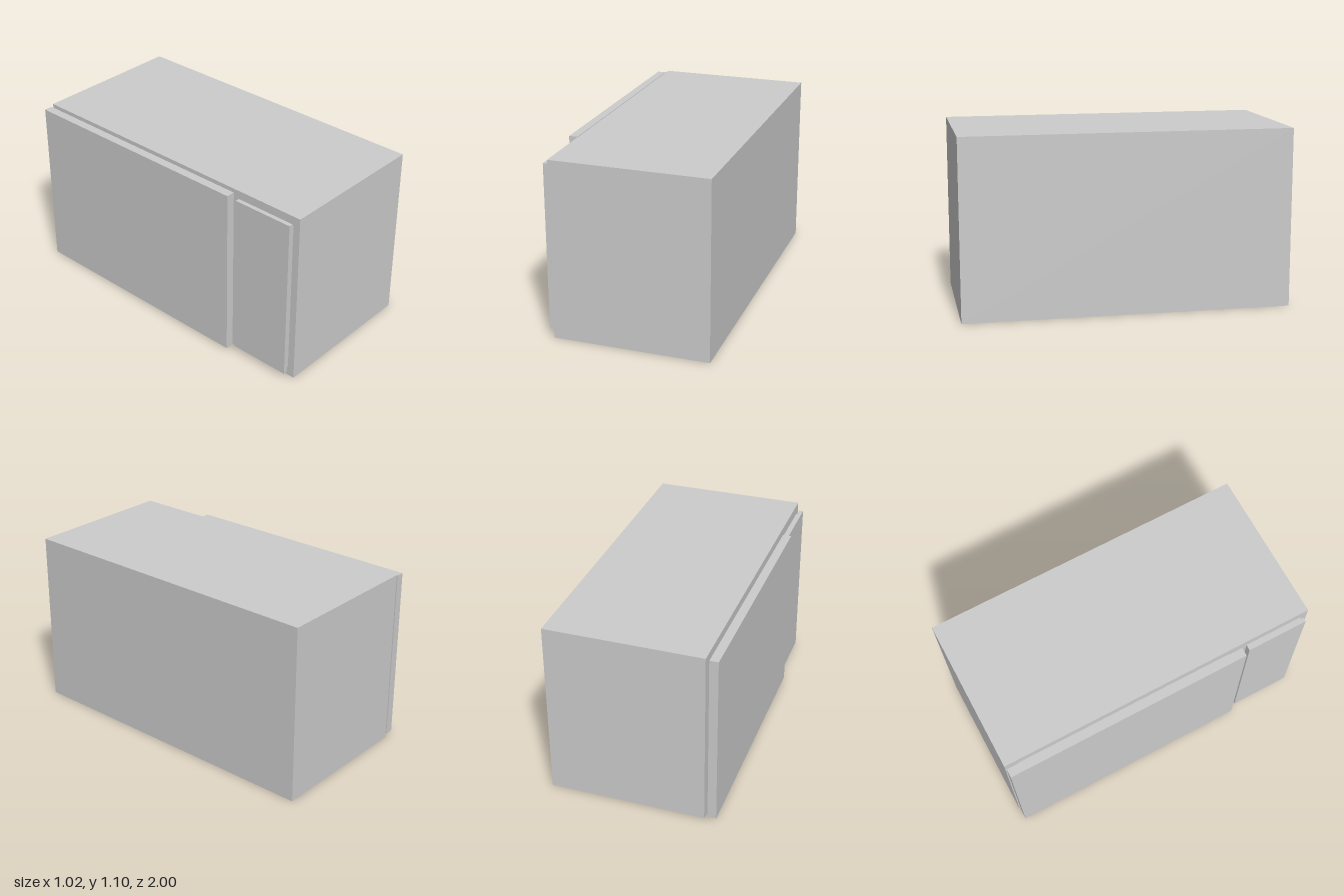
import * as THREE from 'three';

const material = new THREE.MeshStandardMaterial({ color: 0xcccccc, flatShading: true });

// Box given by its [min, max] extent along each axis
function block(name, [x0, x1], [y0, y1], [z0, z1]) {
  const mesh = new THREE.Mesh(new THREE.BoxGeometry(x1 - x0, y1 - y0, z1 - z0), material);
  mesh.name = name;
  mesh.position.set((x0 + x1) / 2, (y0 + y1) / 2, (z0 + z1) / 2);
  return mesh;
}

export function createModel() {
  const model = new THREE.Group();
  model.name = 'cabinet';
  const bodySide = -0.441, panelBack = -0.459;

  // Main body
  model.add(block('body', [bodySide, 0.512], [0, 1.098], [-1, 1]));

  // Large side panel on its recessed spacer
  model.add(block('largePanel', [-0.512, panelBack], [0.013, 1.087], [-0.995, 0.54]));
  model.add(block('largePanelSpacer', [panelBack, bodySide], [0.065, 1.035], [-0.92, 0.467]));

  // Small, thinner side panel on its recessed spacer
  model.add(block('smallPanel', [-0.485, panelBack], [0.036, 1.061], [0.578, 0.963]));
  model.add(block('smallPanelSpacer', [panelBack, bodySide], [0.065, 1.035], [0.586, 0.956]));

  return model;
}
